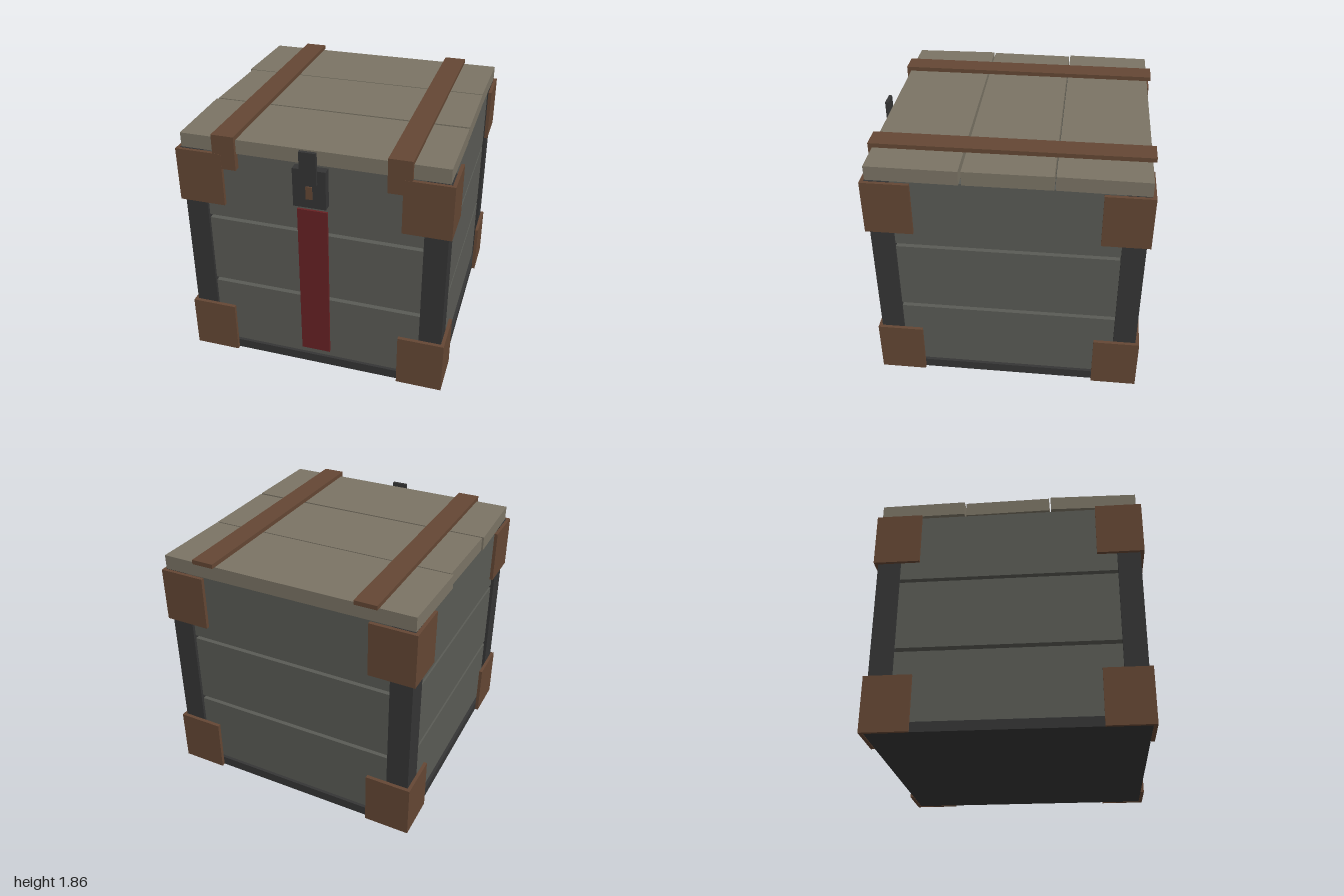
import * as THREE from 'three';

export function createModel() {
  const model = new THREE.Group();
  const mat = (name, color) => {
    const m = new THREE.MeshStandardMaterial({ color });
    m.name = name;
    return m;
  };
  const slatGrey = mat('weathered grey', 0x5a5b55);
  const lidTan = mat('lid tan', 0x7b7465);
  const brown = mat('rust brown', 0x644734);
  const iron = mat('dark iron', 0x353535);
  const red = mat('deep red', 0x672224);

  // Box given by its limits on each axis
  const box = (name, material, [x0, x1], [y0, y1], [z0, z1], parent = model) => {
    const mesh = new THREE.Mesh(new THREE.BoxGeometry(x1 - x0, y1 - y0, z1 - z0), material);
    mesh.position.set((x0 + x1) / 2, (y0 + y1) / 2, (z0 + z1) / 2);
    mesh.name = name;
    parent.add(mesh);
    return mesh;
  };

  // Body sits slightly behind the centre because the latch projects forward
  const body = new THREE.Group();
  body.name = 'body';
  body.position.z = -0.0175;
  model.add(body);

  const H = 0.955;       // half width of the frame
  const INNER = 0.79;    // inner edge of the corner posts
  const FACE = 0.932;    // outer face of the slats
  const THICK = 0.06;    // slat thickness

  // Base panel
  box('base', iron, [-H, H], [0.003, 0.075], [-H, H], body);

  // Three slats on every side, with open gaps between
  for (let side = 0; side < 4; side++) {
    const wall = new THREE.Group();
    wall.name = 'wall';
    wall.rotation.y = side * Math.PI / 2;
    body.add(wall);
    for (const [y0, y1] of [[0.075, 0.605], [0.635, 1.163], [1.19, 1.72]]) {
      box('wallSlat', slatGrey, [-INNER, INNER], [y0, y1], [FACE - THICK, FACE], wall);
    }
  }

  // Ordered limits for a mirrored pair of values
  const span = (s, a, b) => (s > 0 ? [a, b] : [-b, -a]);

  // Corner posts and the angled plates wrapping their ends
  for (const sx of [-1, 1]) {
    for (const sz of [-1, 1]) {
      box('cornerPost', iron, span(sx, INNER, H), [0.075, 1.718], span(sz, INNER, H), body);
      for (const y of [[0, 0.41], [1.315, 1.716]]) {
        const bracket = new THREE.Group();
        bracket.name = 'cornerBracket';
        body.add(bracket);
        box('bracketFace', brown, span(sx, 0.64, 0.98), y, span(sz, H, 0.9825), bracket);
        box('bracketSide', brown, span(sx, H, 0.98), y, span(sz, 0.645, H), bracket);
      }
    }
  }

  // Lid planks with slightly crooked outlines: corners as [x, z]
  const planks = [
    [[-0.955, -0.968], [0.955, -0.975], [0.945, -0.345], [-0.965, -0.345]],
    [[-0.945, -0.335], [0.947, -0.334], [0.948, 0.28], [-0.955, 0.29]],
    [[-0.965, 0.303], [0.95, 0.3], [0.945, 0.935], [-0.948, 0.93]],
  ];
  for (const corners of planks) {
    const outline = new THREE.Shape(corners.map(([x, z]) => new THREE.Vector2(x, -z)));
    const geometry = new THREE.ExtrudeGeometry(outline, { depth: 0.105, bevelEnabled: false });
    geometry.rotateX(-Math.PI / 2);
    const plank = new THREE.Mesh(geometry, lidTan);
    plank.position.y = 1.72;
    plank.name = 'lidPlank';
    model.add(plank);
  }

  // Straps over the lid, turned down at the front
  for (const s of [-1, 1]) {
    box('lidStrap', brown, span(s, 0.535, 0.7), [1.825, 1.857], [-1, 0.963]);
    box('strapFrontUpper', brown, span(s, 0.535, 0.7), [1.716, 1.825], [0.937, 0.963]);
    box('strapFrontLower', brown, span(s, 0.535, 0.64), [1.605, 1.716], [0.914, 0.963]);
  }

  // Red front stripe
  box('frontStripe', red, [-0.11, 0.11], [0.125, 1.36], [0.914, 0.932]);

  // Latch: plate, hasp and keyhole
  box('latchPlate', iron, [-0.118, 0.118], [1.41, 1.698], [0.914, 0.978]);
  box('latchHasp', iron, [-0.06, 0.06], [1.6, 1.837], [0.975, 1]);
  box('keyhole', brown, [-0.023, 0.023], [1.48, 1.575], [0.978, 0.987]);

  return model;
}
